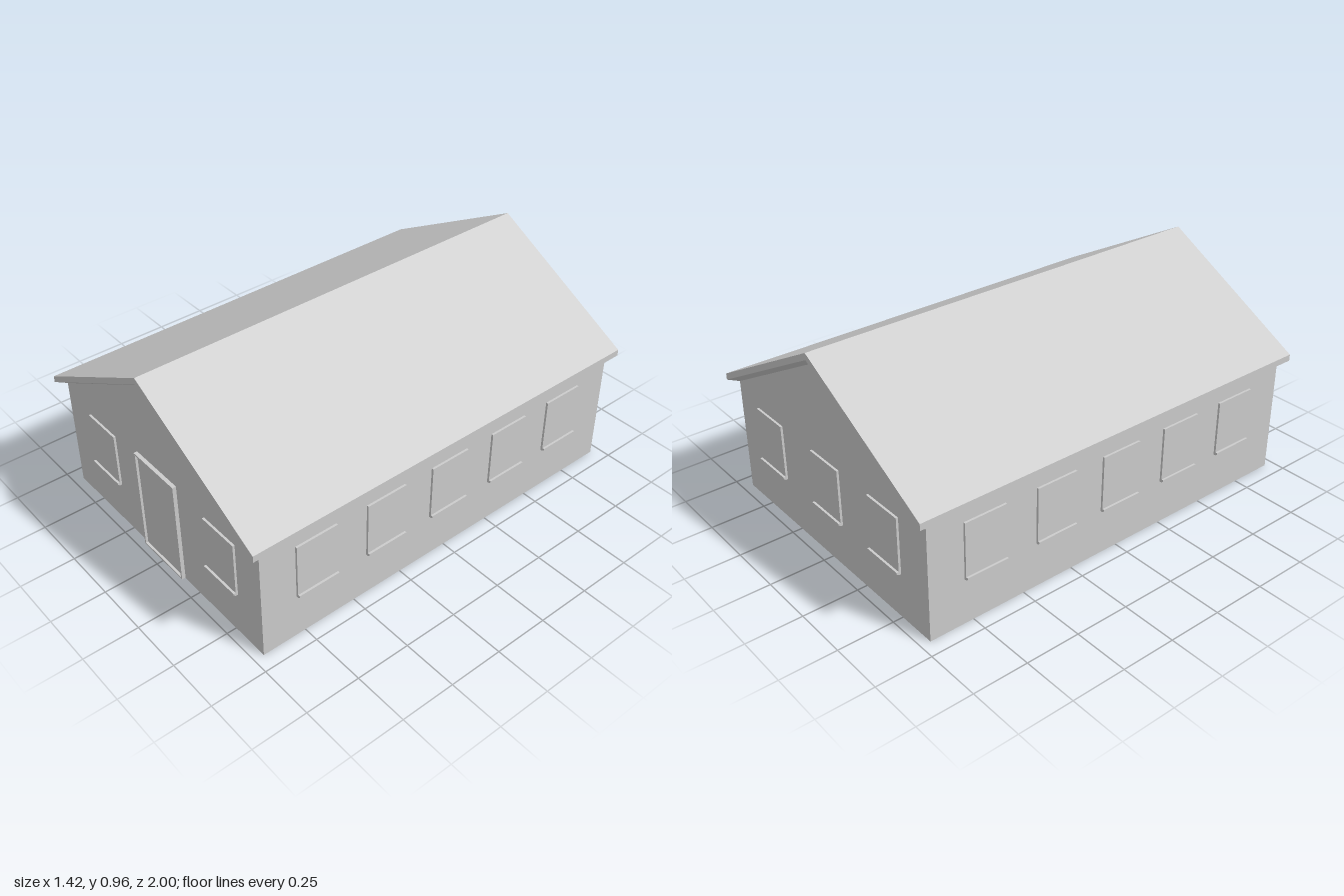
import * as THREE from 'three';

const material = new THREE.MeshStandardMaterial({ color: 0xcccccc, flatShading: true });
const HALF_W = 0.68, HALF_D = 0.955;

function addMesh(parent, name, geometry) {
  const mesh = new THREE.Mesh(geometry, material);
  mesh.name = name;
  parent.add(mesh);
  return mesh;
}

function extrude(points, depth, hole) {
  const shape = new THREE.Shape(points.map(([x, y]) => new THREE.Vector2(x, y)));
  if (hole) shape.holes.push(new THREE.Path(hole.map(([x, y]) => new THREE.Vector2(x, y))));
  return new THREE.ExtrudeGeometry(shape, { depth, bevelEnabled: false });
}

const rect = (x0, x1, y0, y1) => [[x0, y0], [x1, y0], [x1, y1], [x0, y1]];

// Ring of six points following the roof edge: eave, ridge, eave, front then back
function roofRing(x, eaveY, ridgeY, z) {
  return [[x, eaveY, z], [0, ridgeY, z], [-x, eaveY, z], [-x, eaveY, -z], [0, ridgeY, -z], [x, eaveY, -z]];
}

// Roof with vertical fascia and a sloping soffit that runs in to the walls
function roofGeometry() {
  const rings = [
    roofRing(0.71, 0.575, 0.96, 1),
    roofRing(0.71, 0.545, 0.93, 1),
    roofRing(HALF_W, 0.535, 0.905, HALF_D),
  ];
  const positions = [];
  const quad = (a, b, c, d) => positions.push(...a, ...b, ...c, ...a, ...c, ...d);
  for (let r = 0; r < 2; r++) {
    for (let i = 0; i < 6; i++) {
      const j = (i + 1) % 6;
      quad(rings[r][i], rings[r][j], rings[r + 1][j], rings[r + 1][i]);
    }
  }
  const top = rings[0];
  quad(top[0], top[5], top[4], top[1]);
  quad(top[1], top[4], top[3], top[2]);
  const geometry = new THREE.BufferGeometry();
  geometry.setAttribute('position', new THREE.Float32BufferAttribute(positions, 3));
  geometry.computeVertexNormals();
  return geometry;
}

// Window facing +z, with its back on the local z = 0 plane
function createWindow() {
  const group = new THREE.Group();
  group.name = 'window';
  addMesh(group, 'windowPane', new THREE.BoxGeometry(0.198, 0.25, 0.01)).position.set(0, 0.345, 0.005);
  // Sill with a sloping front, turned so that its length runs along x
  const sill = extrude([[0, 0.21], [0.01, 0.21], [0.02, 0.218], [0.02, 0.225], [0, 0.225]], 0.198);
  sill.translate(0, 0, -0.099).rotateY(-Math.PI / 2);
  addMesh(group, 'windowSill', sill);
  return group;
}

export function createModel() {
  const house = new THREE.Group();
  house.name = 'house';

  // Walls with gables
  const walls = extrude(
    [[-HALF_W, 0], [HALF_W, 0], [HALF_W, 0.535], [0, 0.905], [-HALF_W, 0.535]], 2 * HALF_D);
  walls.translate(0, 0, -HALF_D);
  addMesh(house, 'walls', walls);

  addMesh(house, 'roof', roofGeometry());

  // Door and its frame
  const door = new THREE.Group();
  door.name = 'door';
  const frame = extrude(rect(-0.135, 0.145, 0.003, 0.5), 0.017, rect(-0.127, 0.137, 0.011, 0.492));
  addMesh(door, 'doorFrame', frame);
  addMesh(door, 'doorPanel', new THREE.BoxGeometry(0.264, 0.481, 0.006)).position.set(0.005, 0.2515, 0.003);
  door.position.z = HALF_D;
  house.add(door);

  // Rows of windows: wall angle, distance from the centre, positions along the wall
  const rows = [
    ['frontWindow', 0, HALF_D, [-0.405, 0.43]],
    ['backWindow', Math.PI, HALF_D, [-0.43, 0, 0.405]],
    ['leftWindow', Math.PI / 2, HALF_W, [-0.69, -0.338, 0.005, 0.345, 0.68]],
    ['rightWindow', -Math.PI / 2, HALF_W, [-0.69, -0.338, 0.005, 0.345, 0.68]],
  ];
  for (const [name, angle, distance, offsets] of rows) {
    const row = new THREE.Group();
    row.name = name + 's';
    row.rotation.y = angle;
    for (const x of offsets) {
      const win = createWindow();
      win.name = name;
      win.position.set(x, 0, distance);
      row.add(win);
    }
    house.add(row);
  }
  return house;
}
